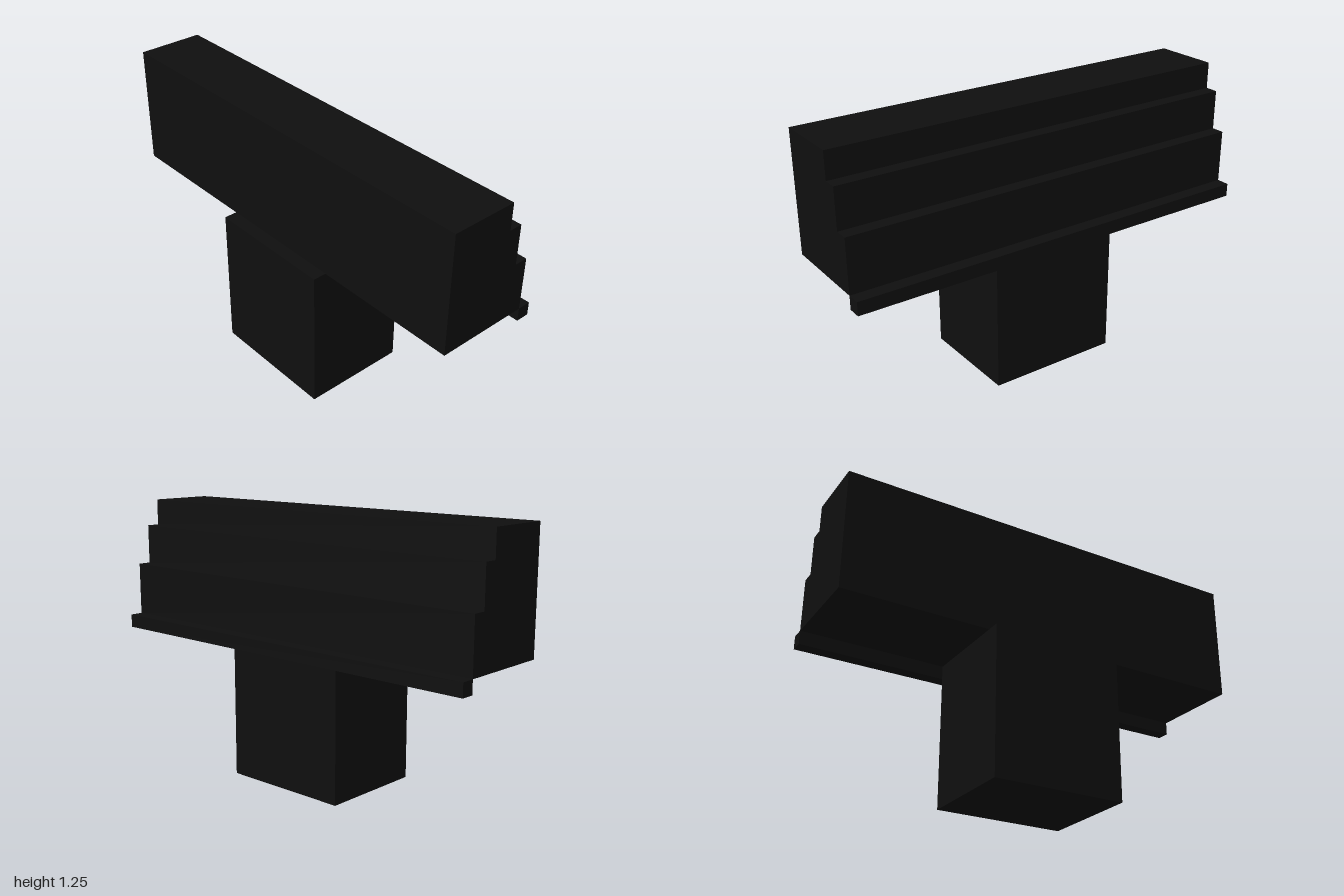
import * as THREE from 'three';

const U = 1 / 16; // grid unit shared by all parts

export function createModel() {
  const model = new THREE.Group();
  const black = new THREE.MeshStandardMaterial({ color: 0x0f0f0f });
  black.name = 'black';

  const add = (name, geometry, x, y, z) => {
    const mesh = new THREE.Mesh(geometry, black);
    mesh.name = name;
    mesh.position.set(x, y, z);
    model.add(mesh);
  };

  // Square-sided post standing on the ground
  add('post', new THREE.BoxGeometry(8 * U, 11 * U, 10 * U), -0.5 * U, 5.5 * U, 0);

  // Long beam with a stepped left side, extruded front to back
  const profile = [
    [-3.5, 11], [3.5, 11], [3.5, 15], [2.5, 15],
    [2.5, 18], [1.5, 18], [1.5, 20], [-3.5, 20],
  ].map(([x, y]) => new THREE.Vector2(x * U, y * U));
  const beam = new THREE.ExtrudeGeometry(new THREE.Shape(profile), { depth: 2, bevelEnabled: false });
  add('steppedBeam', beam, 0, 0, -1);

  // Thin lip along the lower edge of the steps
  add('lip', new THREE.BoxGeometry(U, U, 2), 4 * U, 10.5 * U, 0);

  return model;
}
